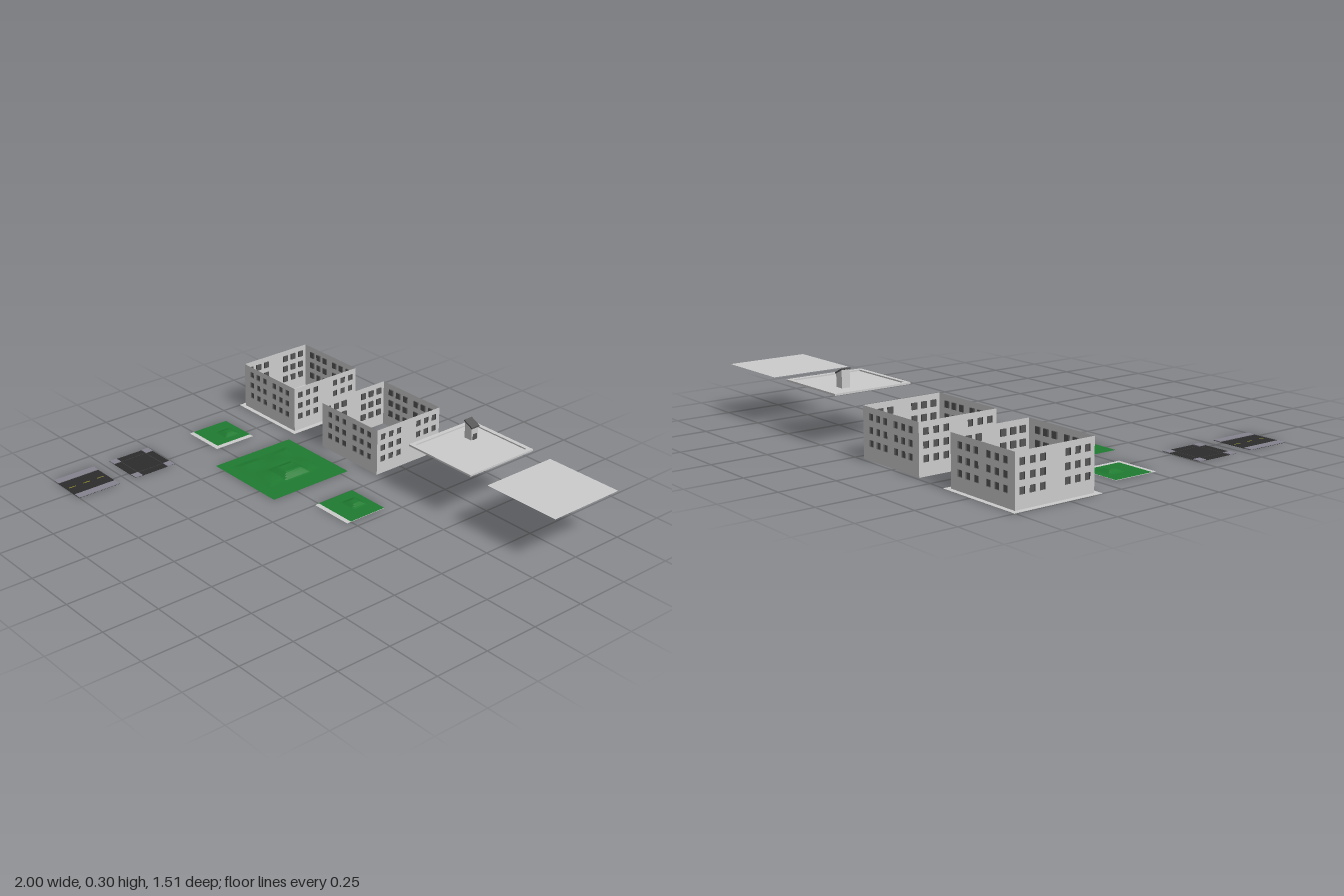
import * as THREE from 'three';
import { mergeGeometries } from 'three/addons/utils/BufferGeometryUtils.js';

const mat = (color, flatShading = false) =>
  new THREE.MeshStandardMaterial({ color, flatShading, side: THREE.DoubleSide });
const GREY = mat(0xcccccc), DARK = mat(0x555555), GRASS = mat(0x1f7a30, true);
const ROAD = mat(0x2c2c2c), WALK = mat(0x85838f), YELLOW = mat(0x8f8a2a), SEAM = mat(0x444444);

function add(parent, name, geometry, material) {
  const mesh = new THREE.Mesh(geometry, material);
  mesh.name = name;
  parent.add(mesh);
  return mesh;
}

// Horizontal sheet between two corners
function sheet(x0, x1, z0, z1, y) {
  return new THREE.PlaneGeometry(x1 - x0, z1 - z0).rotateX(-Math.PI / 2)
    .translate((x0 + x1) / 2, y, (z0 + z1) / 2);
}

function slab(x0, x1, z0, z1, y0, y1) {
  return new THREE.BoxGeometry(x1 - x0, y1 - y0, z1 - z0)
    .translate((x0 + x1) / 2, (y0 + y1) / 2, (z0 + z1) / 2);
}

const SIZE = 0.37, HEIGHT = 0.215, WIN_W = 0.026, WIN_H = 0.028, RECESS = 0.006;

// Window niche: a box without its outward face
function niche(x, y) {
  const g = new THREE.BoxGeometry(WIN_W, WIN_H, RECESS);
  const index = Array.from(g.index.array);
  index.splice(24, 6);
  g.setIndex(index);
  return g.translate(x, y, -RECESS / 2);
}

// One pierced wall in its own plane, with recessed windows
function wall(columns) {
  const g = new THREE.Group();
  g.name = 'wall';
  const h = SIZE / 2;
  const shape = new THREE.Shape().moveTo(-h, 0).lineTo(h, 0).lineTo(h, HEIGHT).lineTo(-h, HEIGHT).closePath();
  const niches = [];
  for (const c of columns) for (const x of [-c, c]) for (const y of [0.07, 0.123, 0.176]) {
    const a = WIN_W / 2, b = WIN_H / 2;
    shape.holes.push(new THREE.Path().moveTo(x - a, y - b).lineTo(x - a, y + b)
      .lineTo(x + a, y + b).lineTo(x + a, y - b).closePath());
    niches.push(niche(x, y));
  }
  add(g, 'wallSurface', new THREE.ShapeGeometry(shape), GREY);
  add(g, 'windows', mergeGeometries(niches), DARK);
  return g;
}

// Open storey made of four walls
function storey(name, x, z) {
  const g = new THREE.Group();
  g.name = name;
  for (let i = 0; i < 4; i++) {
    const w = wall(i % 2 ? [0.058, 0.105, 0.152] : [0.035, 0.083, 0.131]);
    const a = i * Math.PI / 2;
    w.rotation.y = a;
    w.position.set(Math.sin(a) * SIZE / 2, 0, Math.cos(a) * SIZE / 2);
    g.add(w);
  }
  g.position.set(x, 0, z);
  return g;
}

// Roof with raised rim and a stair hut
function roof() {
  const g = new THREE.Group();
  g.name = 'roof';
  const h = SIZE / 2, r = h - 0.02;
  const square = (C, s) => new C().moveTo(-s, -s).lineTo(s, -s).lineTo(s, s).lineTo(-s, s).closePath();
  const rim = square(THREE.Shape, h);
  rim.holes.push(square(THREE.Path, r));
  add(g, 'roofRim', new THREE.ExtrudeGeometry(rim, { depth: 0.008, bevelEnabled: false })
    .rotateX(-Math.PI / 2).translate(0, 0.217, 0), GREY);
  add(g, 'roofDeck', sheet(-r, r, -r, r, 0.219), GREY);
  // Hut profile in x-y, sloping down towards +x
  const prism = (pts, z0, z1) => new THREE.ExtrudeGeometry(
    new THREE.Shape(pts.map(p => new THREE.Vector2(...p))), { depth: z1 - z0, bevelEnabled: false }).translate(0, 0, z0);
  add(g, 'stairHut', prism([[-0.09, 0.219], [-0.049, 0.219], [-0.049, 0.276], [-0.09, 0.295]], -0.09, -0.051), GREY);
  add(g, 'hutRoof', prism([[-0.093, 0.296], [-0.046, 0.274], [-0.046, 0.281], [-0.093, 0.303]], -0.093, -0.048), DARK);
  add(g, 'hutDoor', slab(-0.05, -0.048, -0.083, -0.059, 0.219, 0.246), DARK);
  g.position.set(0.343, 0, -0.55);
  return g;
}

// Height of a flat-topped mound: 1 on top, 0 past its foot
function mound(x, z, cx, cz, topX, topZ, slope) {
  const d = Math.max(Math.abs(x - cx) - topX, Math.abs(z - cz) - topZ);
  return THREE.MathUtils.clamp(1 - d / slope, 0, 1);
}

// Grass sheet displaced by a height rule
function grass(x0, x1, z0, z1, n, height) {
  const g = new THREE.PlaneGeometry(x1 - x0, z1 - z0, n, n).rotateX(-Math.PI / 2)
    .translate((x0 + x1) / 2, 0, (z0 + z1) / 2);
  const p = g.attributes.position;
  for (let i = 0; i < p.count; i++) p.setY(i, height(p.getX(i), p.getZ(i)));
  g.computeVertexNormals();
  return g;
}

export function createModel() {
  const model = new THREE.Group();
  model.name = 'cityTiles';

  // Buildings
  add(model, 'groundFloorBase', slab(-1, -0.588, -0.756, -0.344, 0, 0.002), GREY);
  model.add(storey('groundFloor', -0.794, -0.55), storey('upperFloor', -0.226, -0.55), roof());
  add(model, 'floorPlate', sheet(0.625, 0.995, -0.735, -0.365, 0.217), GREY);

  // Large park
  add(model, 'park', grass(-0.56, -0.148, -0.29, 0.125, 48, (x, z) => {
    const low = mound(x, z, -0.375, -0.08, 0.1, 0.12, 0.03);
    const ripple = 0.6 + 0.4 * Math.sin(x * 37 + 1) * Math.cos(z * 29);
    const hill = mound(x, z, -0.312, -0.09, 0.03, 0.038, 0.032);
    return 0.001 + 0.008 * low * ripple + 0.02 * hill;
  }), GRASS);

  // Small lawns with pavement edges
  const lawns = [['cornerLawn', -0.9, -0.715, -0.79, -0.115], ['edgeLawn', 0, 0.207, 0.095, -0.115]];
  for (const [name, x0, x1, cx, cz] of lawns) {
    add(model, name + 'Base', slab(x0, x0 + 0.207, -0.186, 0.021, 0, 0.001), GREY);
    add(model, name, grass(x0, x1, -0.186, 0, 24, (x, z) =>
      0.002 + 0.012 * mound(x, z, cx, cz, 0.015, 0.015, 0.024)), GRASS);
  }

  // Roads
  const X0 = -0.9, X1 = -0.693, W = 0.037, MID = (X0 + X1) / 2;
  const straight = new THREE.Group();
  straight.name = 'straightRoad';
  add(straight, 'roadSurface', slab(X0, X1, 0.545, 0.75, 0, 0.001), ROAD);
  for (const x of [X0, X1 - W]) add(straight, 'sidewalk', slab(x, x + W, 0.545, 0.75, 0, 0.004), WALK);
  for (const z of [0.561, 0.632, 0.703]) add(straight, 'laneDash', sheet(MID - 0.003, MID + 0.003, z, z + 0.033, 0.002), YELLOW);

  const crossing = new THREE.Group();
  crossing.name = 'crossing';
  const Z0 = 0.255, Z1 = 0.462;
  add(crossing, 'roadSurface', slab(X0, X1, Z0, Z1, 0, 0.001), ROAD);
  for (const x of [X0, X1 - W]) {
    for (const z of [Z0, Z1 - W]) add(crossing, 'cornerSidewalk', slab(x, x + W, z, z + W, 0, 0.004), WALK);
    const s = x === X0 ? x + W : x;
    add(crossing, 'stopLine', sheet(s - 0.001, s + 0.001, Z0 + W, Z1 - W, 0.002), SEAM);
  }
  for (const z of [Z0 + W, Z1 - W]) add(crossing, 'stopLine', sheet(X0 + W, X1 - W, z - 0.001, z + 0.001, 0.002), SEAM);
  model.add(straight, crossing);
  return model;
}
